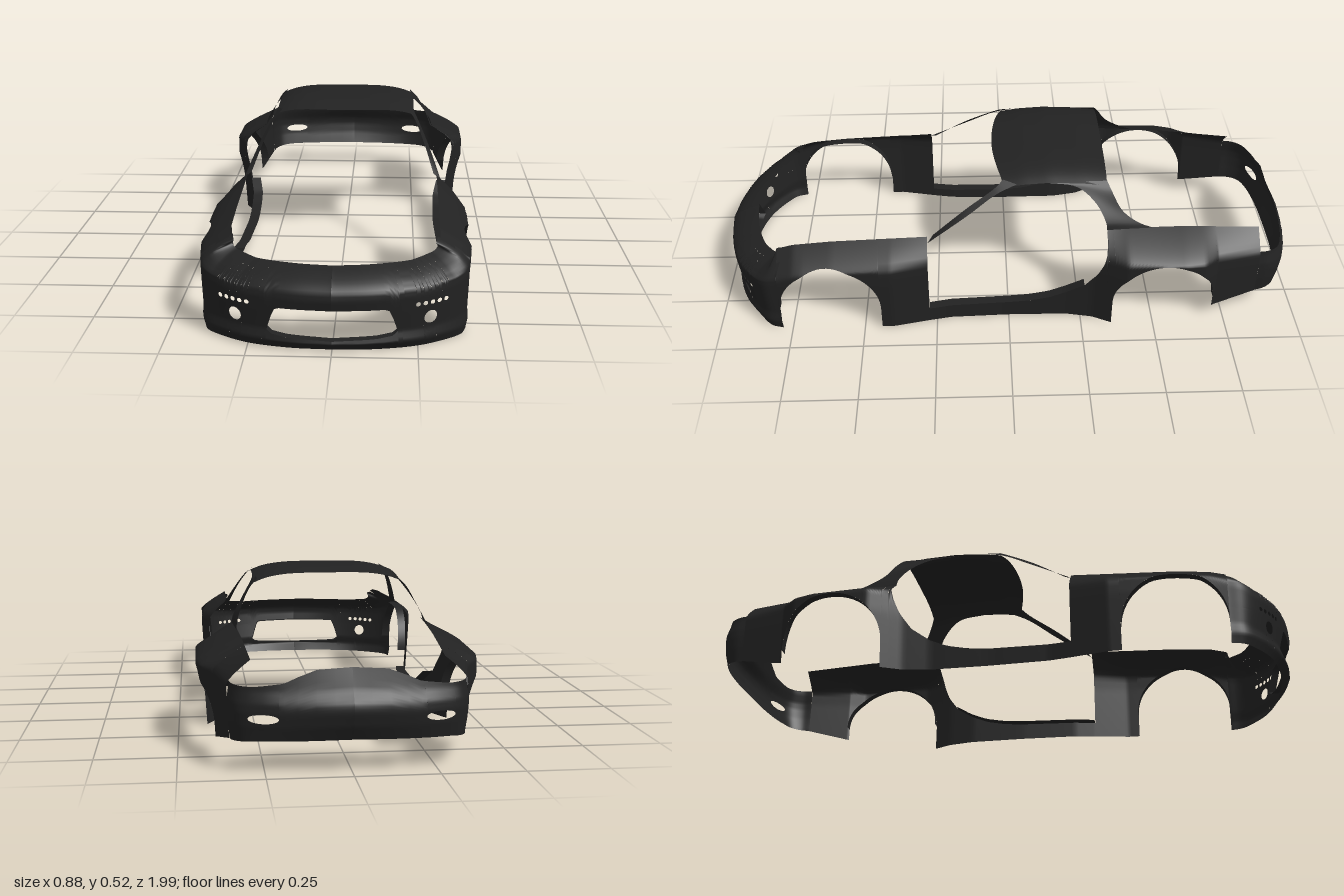
import * as THREE from 'three';

const paint = new THREE.MeshStandardMaterial({ color: 0x222222, side: THREE.DoubleSide });
const V = (x, y, z) => new THREE.Vector3(x, y, z);

// Piecewise linear lookup through [key, value] pairs in rising key order
function lerpTable(pts) {
  return (k) => {
    if (k <= pts[0][0]) return pts[0][1];
    for (let i = 1; i < pts.length; i++) {
      const [a, va] = pts[i - 1], [b, vb] = pts[i];
      if (k <= b) return va + ((vb - va) * (k - a)) / (b - a);
    }
    return pts[pts.length - 1][1];
  };
}

// Grid surface: at(s, t) gives a point for s and t in 0..1
function surface(name, at, nu, nv) {
  const pos = [], index = [];
  for (let i = 0; i <= nu; i++) {
    for (let j = 0; j <= nv; j++) {
      pos.push(...at(i / nu, j / nv).toArray());
      if (i === nu || j === nv) continue;
      const a = i * (nv + 1) + j, b = a + nv + 1;
      index.push(a, b, a + 1, b, b + 1, a + 1);
    }
  }
  const g = new THREE.BufferGeometry();
  g.setAttribute('position', new THREE.Float32BufferAttribute(pos, 3));
  g.setIndex(index);
  g.computeVertexNormals();
  const mesh = new THREE.Mesh(g, paint);
  mesh.name = name;
  return mesh;
}

// Panel between two edge functions; columns gather at both ends for round cutouts
function panel(name, u0, u1, lo, hi, at, nu = 28, nv = 20) {
  return surface(name, (s, t) => {
    const u = u0 + (u1 - u0) * (0.5 - 0.5 * Math.cos(Math.PI * s));
    const a = lo(u), b = Math.max(a, hi(u));
    return at(u, a + (b - a) * t);
  }, nu, nv);
}

// Panel with a row of holes, each { u0, u1, lo, hi }
function piercedPanel(group, name, u0, u1, lo, hi, at, holes, nv = 12) {
  let u = u0;
  for (const h of holes) {
    if (h.u0 > u) group.add(panel(name, u, h.u0, lo, hi, at, 6, nv * 2));
    group.add(panel(name, h.u0, h.u1, lo, h.lo, at, 16, nv));
    group.add(panel(name, h.u0, h.u1, h.hi, hi, at, 16, nv));
    u = h.u1;
  }
  if (u < u1) group.add(panel(name, u, u1, lo, hi, at, 20, nv * 2));
}

function roundHole(u, y, ru, ry) {
  const h = (k) => ry * Math.sqrt(Math.max(0, 1 - ((k - u) / ru) ** 2));
  return { u0: u - ru, u1: u + ru, lo: (k) => y - h(k), hi: (k) => y + h(k) };
}

// Ribbon between two smooth curves
function ribbon(name, a, b) {
  const ca = new THREE.CatmullRomCurve3(a), cb = new THREE.CatmullRomCurve3(b);
  return surface(name, (s, t) => ca.getPoint(s).lerp(cb.getPoint(s), t), 24, 4);
}

// Body side: width, top line and inner top edge along z
const width = lerpTable([[-0.86, 0.355], [-0.71, 0.39], [-0.66, 0.43], [-0.6, 0.442], [-0.4, 0.441], [-0.33, 0.405],
  [-0.29, 0.385], [-0.2, 0.367], [0, 0.365], [0.2, 0.372], [0.27, 0.385], [0.4, 0.413], [0.7, 0.415], [0.785, 0.405]]);
const topLine = lerpTable([[-0.86, 0.315], [-0.6, 0.337], [-0.33, 0.345], [0.27, 0.327], [0.6, 0.312], [0.73, 0.3], [0.785, 0.285]]);
const innerEdge = lerpTable([[-0.86, 0.285], [-0.45, 0.31], [0, 0.33], [0.25, 0.32], [0.785, 0.315]]);
const doorEdge = lerpTable([[-0.335, 0.345], [-0.332, 0.3], [-0.32, 0.25], [-0.3, 0.2], [-0.26, 0.145], [-0.2, 0.105],
  [-0.14, 0.08], [-0.07, 0.066], [0, 0.06], [0.275, 0.055]]);
const tailLower = lerpTable([[-0.86, 0.085], [-0.705, 0.05]]);
const arch = (cz, cy, r) => (z) => cy + Math.sqrt(Math.max(0, r * r - (z - cz) ** 2));
const frontArch = arch(0.6125, 0.087, 0.1725);
const rearArch = arch(-0.53, 0.095, 0.175);
const floor = () => 0;

function sidePoint(z, y) {
  const top = topLine(z), s = Math.min(1, Math.max(0, (y - top + 0.07) / 0.07));
  const tuck = 0.012 * Math.max(0, 1 - y / 0.2);
  const inner = innerEdge(z);
  return V(inner + (width(z) - inner) * (1 - s ** 1.3) - tuck, y, z);
}

// Bumper outline halves in plan, centre to corner
const frontPlan = new THREE.CatmullRomCurve3([V(0, 0, 0.995), V(0.13, 0, 0.977), V(0.26, 0, 0.935), V(0.35, 0, 0.875),
  V(0.393, 0, 0.83), V(0.405, 0, 0.785)]);
const rearPlan = new THREE.CatmullRomCurve3([V(0, 0, -1), V(0.13, 0, -0.99), V(0.26, 0, -0.965), V(0.325, 0, -0.935),
  V(0.35, 0, -0.895), V(0.355, 0, -0.86)]);
const frontTop = lerpTable([[0, 0.24], [0.6, 0.24], [0.8, 0.25], [1, 0.285]]);
const frontInset = lerpTable([[0, 0.045], [0.12, 0.012], [0.25, 0.025], [0.5, 0.01], [0.7, 0], [0.8, 0.005], [0.88, 0.03], [0.95, 0.065], [1, 0.1]]);
const rearTop = lerpTable([[0, 0.305], [0.34, 0.298], [0.41, 0.27], [0.5, 0.262], [0.7, 0.252], [1, 0.255]]);
const rearBottom = lerpTable([[0, 0.098], [0.7, 0.095], [1, 0.085]]);
const rearInset = lerpTable([[0.09, 0.04], [0.14, 0.012], [0.18, 0], [0.205, 0.003], [0.24, 0.03], [0.305, 0.055]]);

function insetPoint(curve, u, y, inset) {
  const p = curve.getPointAt(u), t = curve.getTangentAt(u);
  const sign = p.z > 0 ? 1 : -1;
  return V(Math.max(0, p.x + sign * t.z * inset), y, p.z - sign * t.x * inset);
}
function frontPoint(u, y) {
  const s = y / frontTop(u);
  return insetPoint(frontPlan, u, y, frontInset(s) * (s > 0.8 ? 1 : 1 - 0.8 * u));
}
const rearPoint = (u, y) => insetPoint(rearPlan, u, y, rearInset(y) * (1 - 0.8 * u));

function buildHalf() {
  const half = new THREE.Group();

  // Fenders, sill and rear quarter
  half.add(panel('frontFenderRear', 0.275, 0.44, floor, topLine, sidePoint));
  half.add(panel('frontFenderArch', 0.44, 0.785, frontArch, topLine, sidePoint, 40));
  half.add(panel('sill', -0.335, 0.275, floor, doorEdge, sidePoint, 48, 16));
  half.add(panel('quarterFront', -0.355, -0.335, floor, topLine, sidePoint, 4));
  half.add(panel('quarterArch', -0.705, -0.355, rearArch, topLine, sidePoint, 40));
  half.add(panel('quarterRear', -0.86, -0.705, tailLower, topLine, sidePoint));

  // Folded-in lips around the openings
  const lip = (name, z0, z1, edge, depth) => half.add(surface(name, (s, t) => {
    const z = z0 + (z1 - z0) * (0.5 - 0.5 * Math.cos(Math.PI * s));
    const p = sidePoint(z, edge(z));
    p.x -= depth * t;
    return p;
  }, 36, 1));
  lip('frontArchLip', 0.44, 0.785, frontArch, 0.03);
  lip('rearArchLip', -0.705, -0.355, rearArch, 0.03);
  lip('sillLip', -0.26, 0.275, doorEdge, 0.035);

  // Front bumper with grille, fog lamp hole and a row of small vents
  const grille = {
    u0: 0, u1: 0.41,
    lo: lerpTable([[0, 0.038], [0.28, 0.042], [0.38, 0.048], [0.41, 0.06]]),
    hi: lerpTable([[0, 0.137], [0.34, 0.135], [0.36, 0.125], [0.41, 0.06]]),
  };
  const split = () => 0.122;
  const vents = [0, 1, 2, 3, 4].map((i) => roundHole(0.53 + i * 0.05, 0.141, 0.016, 0.007));
  piercedPanel(half, 'frontBumper', 0, 0.44, floor, frontTop, frontPoint, [grille], 14);
  piercedPanel(half, 'frontBumperLower', 0.44, 1, floor, split, frontPoint, [roundHole(0.625, 0.093, 0.045, 0.021)], 8);
  piercedPanel(half, 'frontBumperUpper', 0.44, 1, split, frontTop, frontPoint, vents, 10);

  // Grille surround folded back into the bumper
  for (const edge of [grille.lo, grille.hi]) {
    half.add(surface('grilleSurround', (s, t) => {
      const p = frontPoint(0.41 * s, edge(0.41 * s));
      p.z -= 0.025 * t;
      return p;
    }, 24, 1));
  }

  // Rear bumper with a slot
  piercedPanel(half, 'rearBumper', 0, 1, rearBottom, rearTop, rearPoint, [roundHole(0.62, 0.163, 0.11, 0.014)], 12);

  // Windscreen pillar
  half.add(ribbon('windscreenPillar',
    [V(0.335, 0.31, 0.275), V(0.295, 0.395, 0.135), V(0.262, 0.455, 0.04), V(0.243, 0.482, -0.03)],
    [V(0.31, 0.327, 0.255), V(0.277, 0.41, 0.14), V(0.245, 0.468, 0.045), V(0.225, 0.49, 0.015)]));

  // Rear pillar sweeping from roof to quarter
  half.add(ribbon('rearPillar',
    [V(0.24, 0.484, -0.13), V(0.25, 0.47, -0.235), V(0.284, 0.42, -0.3), V(0.315, 0.365, -0.33), V(0.322, 0.34, -0.334)],
    [V(0.235, 0.485, -0.335), V(0.262, 0.455, -0.352), V(0.29, 0.4, -0.385), V(0.306, 0.36, -0.44), V(0.31, 0.34, -0.49)]));
  return half;
}

// Mirror a half by flipping x in the vertices and turning the faces round
function mirrored(half) {
  const other = new THREE.Group();
  for (const m of half.children) {
    const g = m.geometry.clone().scale(-1, 1, 1);
    const ix = g.index.array;
    for (let i = 0; i < ix.length; i += 3) [ix[i], ix[i + 1]] = [ix[i + 1], ix[i]];
    g.computeVertexNormals();
    const mesh = new THREE.Mesh(g, paint);
    mesh.name = m.name;
    other.add(mesh);
  }
  return other;
}

export function createModel() {
  const car = new THREE.Group();
  car.name = 'carBodyShell';
  const left = buildHalf();
  left.name = 'leftHalf';
  const right = mirrored(left);
  right.name = 'rightHalf';
  car.add(left, right);

  // Crowned roof
  const crown = lerpTable([[-0.335, 0.502], [-0.25, 0.512], [-0.14, 0.517], [-0.05, 0.511], [0.05, 0.495]]);
  car.add(surface('roof', (s, t) => {
    const k = 2 * s - 1;
    const z = -0.335 + (0.385 - 0.04 * k * k) * t;
    return V(0.245 * k, crown(z) - 0.03 * k ** 4, z);
  }, 32, 20));
  return car;
}
